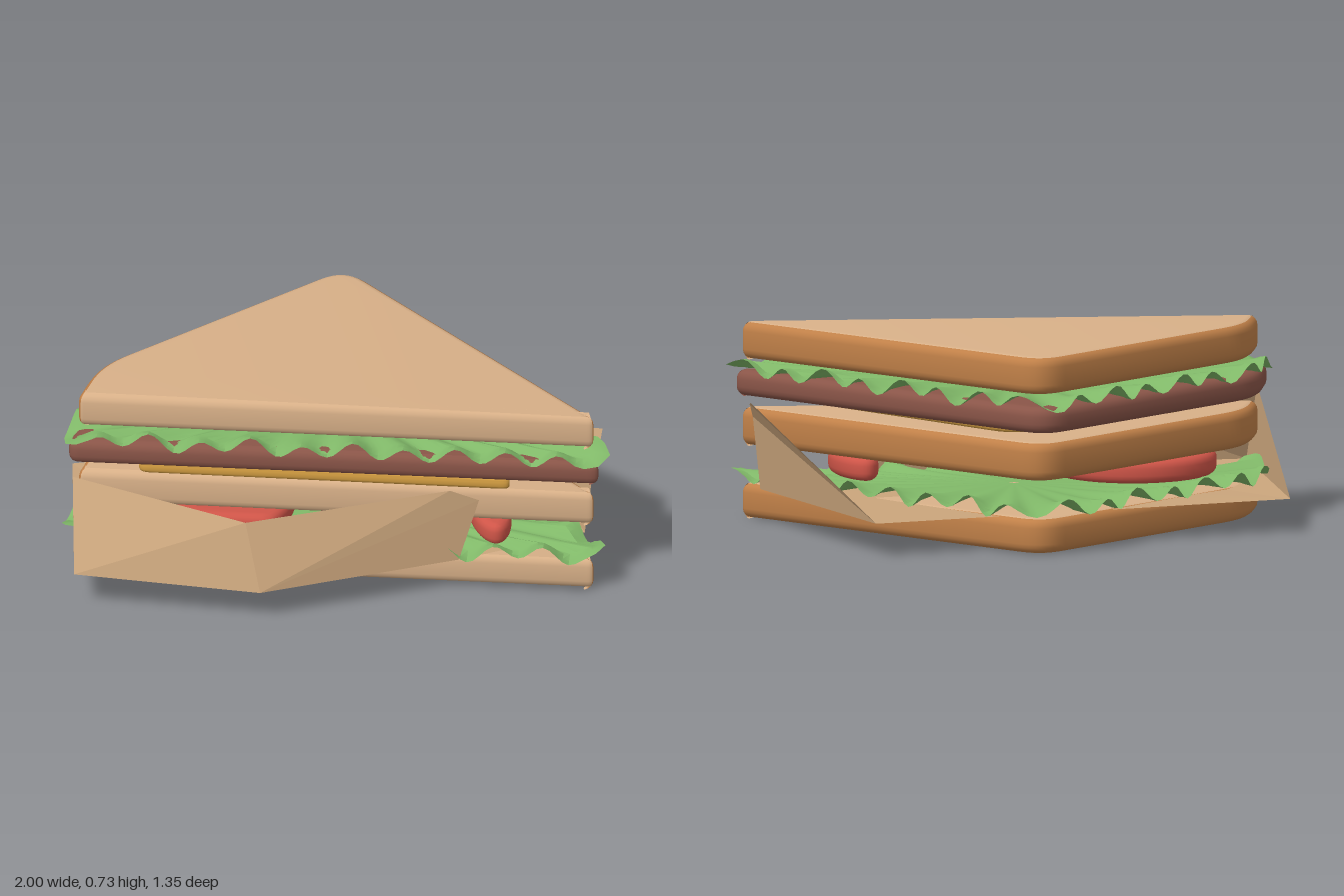
import * as THREE from 'three';
import { toCreasedNormals } from 'three/addons/utils/BufferGeometryUtils.js';

const mat = (name, color, side = THREE.FrontSide) => {
  const m = new THREE.MeshStandardMaterial({ color, side });
  m.name = name;
  return m;
};

// Triangular outline as [x, z, corner radius]: left corner, crust bulge, apex, right corner
const BREAD = [[-0.94, 0.155, 0.03], [-0.83, -0.065, 0.13], [0.185, -0.65, 0.13], [0.925, 0.625, 0.04]];
const CUT = new THREE.Vector2(-0.244, 0.97); // outward direction of the cut side, in x and z

// Closed shape with rounded corners; shape y is -z
function roundedShape(corners) {
  const s = new THREE.Shape();
  const v = corners.map(([x, z]) => new THREE.Vector2(x, -z));
  corners.forEach(([, , r], i) => {
    const p = v[i], prev = v.at(i - 1), next = v[(i + 1) % v.length];
    const a = prev.clone().sub(p).setLength(r).add(p);
    const b = next.clone().sub(p).setLength(r).add(p);
    if (i) s.lineTo(a.x, a.y); else s.moveTo(a.x, a.y);
    s.quadraticCurveTo(p.x, p.y, b.x, b.y);
  });
  s.closePath();
  return s;
}

// Flat slab with rounded edges from height y0 to y1
function slabGeometry(shape, y0, y1, bevel) {
  const g = new THREE.ExtrudeGeometry(shape, {
    depth: y1 - y0 - 2 * bevel, bevelThickness: bevel, bevelSize: bevel,
    bevelOffset: -bevel, bevelSegments: 4, curveSegments: 8,
  });
  g.rotateX(-Math.PI / 2).translate(0, y0 + bevel, 0);
  return toCreasedNormals(g, 0.7);
}

// Split faces into crumb (0) for top, bottom and cut side, and crust (1) for the rest
function groupCrust(g) {
  const p = g.attributes.position, tri = new THREE.Triangle(), n = new THREE.Vector3();
  g.clearGroups();
  let start = 0, last = -1;
  for (let i = 0; i < p.count; i += 3) {
    tri.setFromAttributeAndIndices(p, i, i + 1, i + 2);
    tri.getNormal(n);
    const facing = (n.x * CUT.x + n.z * CUT.y) / (Math.hypot(n.x, n.z) || 1);
    const k = Math.abs(n.y) > 0.85 || facing > 0.85 ? 0 : 1;
    if (k !== last) {
      if (last >= 0) g.addGroup(start, i - start, last);
      start = i;
      last = k;
    }
  }
  g.addGroup(start, p.count - start, last);
  return g;
}

// Leaf sheet with a rippled rim, from rings growing out of the centre
function leafGeometry(y, amp, phase) {
  const N = 200, rim = roundedShape(BREAD).getSpacedPoints(N).slice(0, N);
  const rings = [[0.02, 0, 0], [0.6, 0, 0.12], [0.88, 0, 0.35], [1, 0, 0.65], [1, 0.03, 0.9], [1, 0.055, 1]];
  const pos = [], idx = [], cx = 0.05, cz = 0.05;
  rings.forEach(([t, out, w], r) => {
    for (let i = 0; i < N; i++) {
      const p = rim[i], a = rim.at(i - 2), b = rim[(i + 2) % N];
      const d = b.clone().sub(a).normalize();
      const u = (i / N) * Math.PI * 2;
      const o = out * (1 + 0.22 * Math.sin(u * 13 + phase));
      const px = p.x + d.y * o * -1, pz = -p.y - d.x * o;
      const wave = Math.sin(u * 25 + phase + r * 0.25) * 0.75 + Math.sin(u * 11 + phase * 2) * 0.25;
      pos.push(cx + (px - cx) * t, y + amp * w * wave, cz + (pz - cz) * t);
    }
    if (r) for (let i = 0; i < N; i++) {
      const j = (i + 1) % N, a = (r - 1) * N, b = r * N;
      idx.push(a + i, b + i, b + j, a + i, b + j, a + j);
    }
  });
  const g = new THREE.BufferGeometry();
  g.setAttribute('position', new THREE.Float32BufferAttribute(pos, 3));
  g.setIndex(idx);
  return toCreasedNormals(g, 0.6);
}

export function createModel() {
  const crumb = mat('bread crumb', 0xd8b088);
  const crust = mat('bread crust', 0xc08048);
  const leaf = mat('lettuce green', 0x80b868, THREE.DoubleSide);
  const meat = mat('meat brown', 0x8a5548);
  const cheese = mat('cheese yellow', 0xcf9a40);
  const tomato = mat('tomato red', 0xcf5548);
  const paper = mat('wrapper paper', 0xcaa57c, THREE.DoubleSide);

  const model = new THREE.Group();
  model.name = 'sandwich';
  const add = (name, geometry, material) => {
    const m = new THREE.Mesh(geometry, material);
    m.name = name;
    model.add(m);
  };

  // Three bread slices
  [['bottomBread', 0, 0.13], ['middleBread', 0.27, 0.412], ['topBread', 0.592, 0.73]].forEach(([name, y0, y1]) =>
    add(name, groupCrust(slabGeometry(roundedShape(BREAD), y0, y1, 0.035)), [crumb, crust]));

  // Lettuce leaves
  add('lowerLettuce', leafGeometry(0.168, 0.038, 0.4), leaf);
  add('upperLettuce', leafGeometry(0.567, 0.036, 2.1), leaf);

  // Meat and cheese
  const meatShape = roundedShape([[-0.985, 0.18, 0.05], [-0.86, -0.09, 0.13], [0.185, -0.69, 0.13], [0.95, 0.66, 0.07]]);
  add('meatSlice', slabGeometry(meatShape, 0.452, 0.55, 0.035), meat);
  const cheeseShape = roundedShape([[-0.73, 0.21, 0.05], [-0.62, -0.02, 0.12], [0.19, -0.35, 0.12], [0.63, 0.56, 0.06]]);
  add('cheeseSlice', slabGeometry(cheeseShape, 0.41, 0.456, 0.015), cheese);

  // Tomato slices: ellipses trimmed along the cut side
  const cutAt = CUT.dot(new THREE.Vector2(-0.93, 0.155)) + 0.03;
  [[-0.43, 0.1, 0.31, 0.31], [0.565, 0.37, 0.075, 0.18]].forEach(([x, z, rx, rz], k) => {
    const pts = new THREE.EllipseCurve(x, z, rx, rz).getPoints(40).slice(0, 40).map((p) => {
      const over = Math.max(0, p.dot(CUT) - cutAt);
      return new THREE.Vector2(p.x - CUT.x * over, -(p.y - CUT.y * over));
    });
    add('tomatoSlice' + (k + 1), slabGeometry(new THREE.Shape(pts), 0.175, 0.262, 0.03), tomato);
  });

  // Folded paper wrapper: a flat sheet with turned-up flaps
  const backLeft = [0.77, 0.125, -0.47], backRight = [-0.87, 0.125, -0.4];
  const sideLow = [0.91, 0.133, 0.42], frontLow = [0.42, 0.133, 0.55];
  const foldLow = [-0.34, 0.125, 0.67], cornerLow = [-1, 0.145, 0.46];
  const sideTip = [1, 0.48, 0.27], frontTop = [0.39, 0.415, 0.53];
  const foldTop = [-0.38, 0.375, 0.58], cornerTop = [-0.975, 0.45, 0.27];
  const facets = {
    wrapperSheet: [backRight, cornerLow, foldLow, frontLow, sideLow, backLeft],
    wrapperSideFlap: [backLeft, sideLow, [0.95, 0.41, 0.39], [0.98, 0.465, 0.34], sideTip],
    wrapperFrontFlap: [foldLow, frontLow, [0.5, 0.36, 0.52], frontTop, foldTop],
    wrapperCornerFlap: [cornerLow, foldLow, foldTop, cornerTop],
    wrapperEndFlap: [backRight, cornerLow, cornerTop],
  };
  for (const [name, c] of Object.entries(facets)) {
    const pos = [];
    for (let i = 1; i < c.length - 1; i++) pos.push(...c[0], ...c[i], ...c[i + 1]);
    const g = new THREE.BufferGeometry();
    g.setAttribute('position', new THREE.Float32BufferAttribute(pos, 3));
    g.computeVertexNormals();
    add(name, g, paper);
  }
  return model;
}
